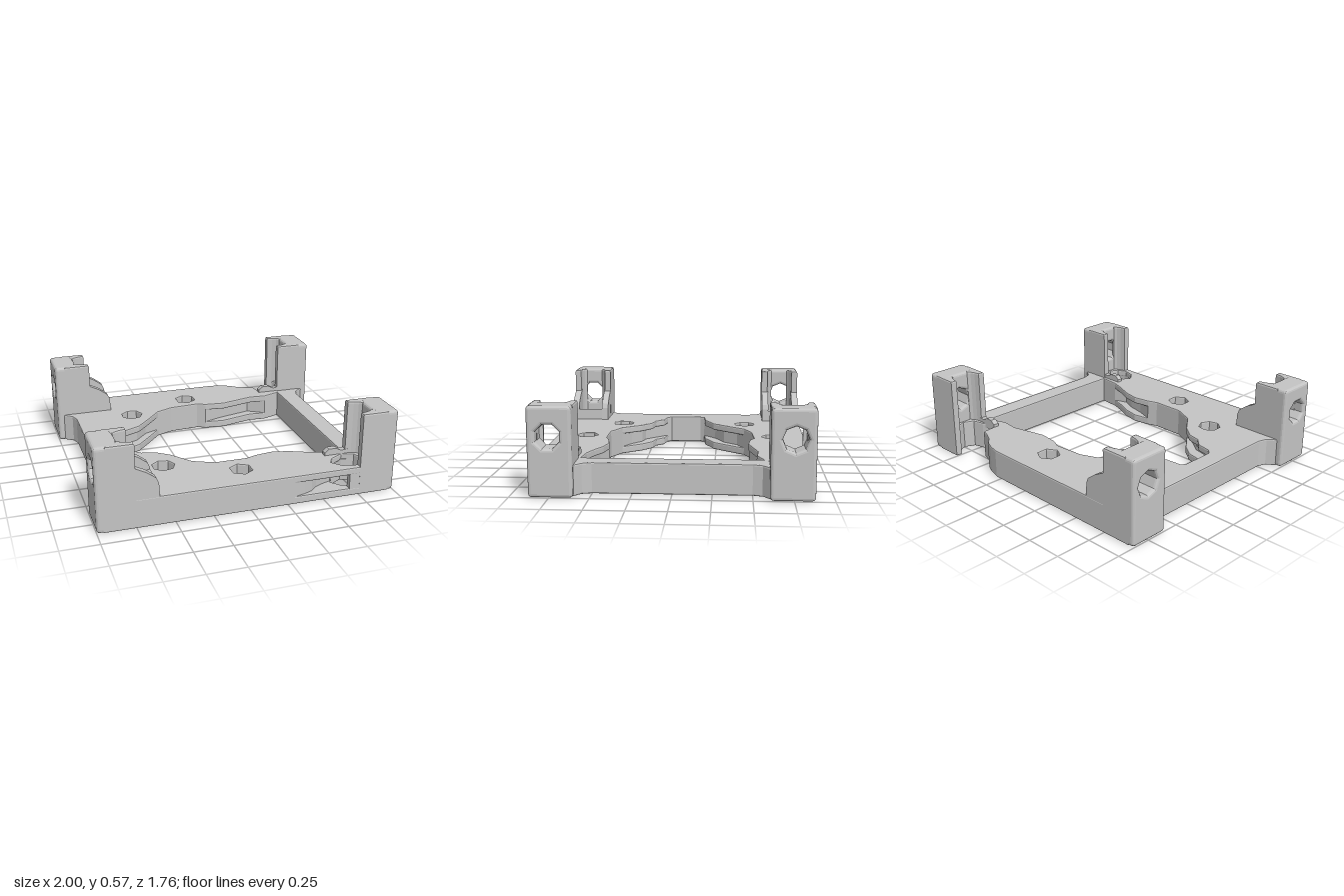
import * as THREE from 'three';

export function createModel() {
  const model = new THREE.Group();
  const grey = new THREE.MeshStandardMaterial({ color: 0xc4c4c4 });
  grey.name = 'matte grey';

  const add = (name, geometry) => {
    const mesh = new THREE.Mesh(geometry, grey);
    mesh.name = name;
    model.add(mesh);
    return mesh;
  };
  const vectors = pts => pts.map(([a, b]) => new THREE.Vector2(a, b));
  const ring = (cx, cz, r, n, turn = 0) => Array.from({ length: n }, (_, i) => {
    const a = turn + i / n * Math.PI * 2;
    return [cx + r * Math.cos(a), cz + r * Math.sin(a)];
  });
  // Plan outline in (x, z) raised from y0 to y1, with a bevel kept inside the outline
  const raise = (pts, holes, y0, y1, bevel) => {
    // Outlines run anticlockwise and holes clockwise so that all walls face outwards
    const oriented = (p, clockwise) => {
      const v = vectors(p.map(([x, z]) => [x, -z]));
      return THREE.ShapeUtils.isClockWise(v) === clockwise ? v : v.reverse();
    };
    const shape = new THREE.Shape(oriented(pts, false));
    shape.holes = holes.map(h => new THREE.Path(oriented(h, true)));
    const geometry = new THREE.ExtrudeGeometry(shape, {
      depth: y1 - y0 - 2 * bevel, bevelEnabled: bevel > 0, bevelThickness: bevel,
      bevelSize: bevel, bevelOffset: -bevel, bevelSegments: 2,
    });
    return geometry.rotateX(-Math.PI / 2).translate(0, y0 + bevel, 0);
  };
  const flip = pts => pts.map(([x, z]) => [x, -z]);

  // Ragged inner opening, rear and front halves, running from -x to +x
  const innerBack = [[-0.75, -0.12], [-0.73, -0.15], [-0.62, -0.16], [-0.54, -0.2], [-0.47, -0.23],
    [-0.38, -0.33], [-0.27, -0.46], [-0.15, -0.51], [0.06, -0.525], [0.12, -0.495], [0.26, -0.48],
    [0.4, -0.515], [0.5, -0.54], [0.62, -0.53], [0.745, -0.575]];
  const innerFront = [[-0.75, 0.11], [-0.72, 0.14], [-0.62, 0.16], [-0.56, 0.22], [-0.47, 0.24],
    [-0.38, 0.31], [-0.27, 0.45], [-0.13, 0.515], [0.09, 0.515], [0.16, 0.49], [0.28, 0.47],
    [0.4, 0.495], [0.5, 0.54], [0.6, 0.575], [0.745, 0.59]];
  // Worn edge beside a right-hand post, from the post towards -x
  const wornEdge = [[0.94, 0.88], [0.8, 0.88], [0.77, 0.86], [0.8, 0.82], [0.83, 0.75], [0.8, 0.68],
    [0.72, 0.66], [0.66, 0.63], [0.61, 0.645], [0.6, 0.74], [0.54, 0.76], [0.48, 0.79],
    [0.43, 0.835], [0.37, 0.86], [0.29, 0.88]];
  const frontScrewHole = [[0.83, 0.75], [0.8, 0.81], [0.73, 0.835], [0.65, 0.81], [0.6, 0.75],
    [0.63, 0.7], [0.72, 0.65], [0.8, 0.68]];

  const outer = frontEdge => [
    [-0.88, -0.5], [-0.9, -0.56], [-0.96, -0.605], [-0.96, -0.88],
    ...flip(wornEdge).reverse(),
    [0.96, -0.605], [0.9, -0.56], [0.88, -0.5], [0.88, 0.5], [0.9, 0.56], [0.96, 0.605],
    ...frontEdge,
    [-0.96, 0.88], [-0.96, 0.605], [-0.9, 0.56], [-0.88, 0.5],
  ];
  const screwHoles = [
    ring(-0.75, -0.75, 0.09, 10), ring(-0.75, 0.75, 0.09, 10),
    ring(0, -0.655, 0.075, 6, 0.5), ring(0, 0.665, 0.075, 6, 0.5),
    ring(-0.47, -0.465, 0.075, 7), ring(-0.47, 0.46, 0.075, 7),
  ];
  const opening = [...innerBack, ...[...innerFront].reverse()];
  // Recesses undercut the middle of the inner wall
  const undercut = opening.map(([x, z]) => {
    const deep = (x > 0.2 && x < 0.55) ? 0.065 : (x > -0.66 && x < -0.35) ? 0.08 : 0;
    return [x, z + Math.sign(z) * deep];
  });

  // Base frame in three layers, the middle one hollowed at the side slots
  const fullHoles = [opening, frontScrewHole, ...screwHoles];
  add('frameBottom', raise(outer([[0.96, 0.88]]), fullHoles, 0, 0.055, 0.01));
  add('frameCore', raise(outer(wornEdge), [undercut, ...screwHoles], 0.04, 0.165, 0));
  add('frameTop', raise(outer([[0.96, 0.88]]), fullHoles, 0.15, 0.2, 0.01));
  add('slotEnd', new THREE.BoxGeometry(0.12, 0.13, 0.04)).position.set(0.74, 0.1, 0.859);

  // Outer post slab with a cross hole, cut in the (z, y) plane
  const postSlab = (sx, sz) => {
    const h = 0.57, w = 0.139, c = 0.025;
    const shape = new THREE.Shape();
    shape.moveTo(-w + c, 0).lineTo(w - c, 0).quadraticCurveTo(w, 0, w, c)
      .lineTo(w, h - c).quadraticCurveTo(w, h, w - c, h)
      .lineTo(-w + c, h).quadraticCurveTo(-w, h, -w, h - c)
      .lineTo(-w, c).quadraticCurveTo(-w, 0, -w + c, 0);
    shape.holes.push(new THREE.Path(vectors(ring(-sz * 0.012, 0.38, 0.081, 8, sz > 0 ? 0.39 : 0))));
    return new THREE.ExtrudeGeometry(shape, {
      depth: 0.12, bevelThickness: 0.02, bevelSize: 0.02, bevelOffset: -0.02,
      bevelSegments: 3, curveSegments: 4,
    }).rotateY(Math.PI / 2).translate(sx > 0 ? 0.86 : -0.98, 0, sz * 0.741);
  };

  // Side profile in (x, y) given a thickness in z
  const sideProfile = (pts, z, thickness) => new THREE.ExtrudeGeometry(
    new THREE.Shape(vectors(pts)), { depth: thickness, bevelEnabled: false })
    .translate(0, 0, z - thickness / 2);

  for (const sx of [-1, 1]) for (const sz of [-1, 1]) {
    const side = (sz > 0 ? 'front' : 'back') + (sx > 0 ? 'Left' : 'Right');
    add(side + 'Post', postSlab(sx, sz));
    for (const e of [-1, 1]) {
      // Walls either side of the vertical screw channel
      const wall = [[0.75, 0.095], [0.79, 0.088], [0.82, 0.076], [0.84, 0.06], [0.857, 0.06],
        [0.862, 0.085], [0.93, 0.085], [0.93, 0.139], [0.75, 0.139]];
      add(side + 'ChannelWall', raise(
        wall.map(([x, z]) => [sx * x, sz * 0.741 + e * z]), [], 0, 0.57, 0.012));
      // Sloping shoulders beside the channel on the stepped posts
      if (sx < 0) add(side + 'Shoulder', sideProfile([[-0.78, 0.15], [-0.78, 0.42], [-0.74, 0.4],
        [-0.68, 0.37], [-0.62, 0.325], [-0.605, 0.29], [-0.6, 0.2], [-0.6, 0.15]],
        sz * 0.741 + e * 0.114, 0.048));
    }
    if (sx < 0) {
      // Low lip closing the channel
      add(side + 'ChannelLip', sideProfile([[-0.602, 0.15], [-0.606, 0.28], [-0.64, 0.27],
        [-0.665, 0.22], [-0.665, 0.15]], sz * 0.741, 0.2));
    } else {
      // Worn remnant of the shoulder
      add(side + 'WornShoulder', sideProfile([[0.6, 0.17], [0.6, 0.22], [0.63, 0.245],
        [0.68, 0.245], [0.72, 0.225], [0.77, 0.23], [0.77, 0.17]], sz * 0.63, 0.04));
    }
  }
  return model;
}
